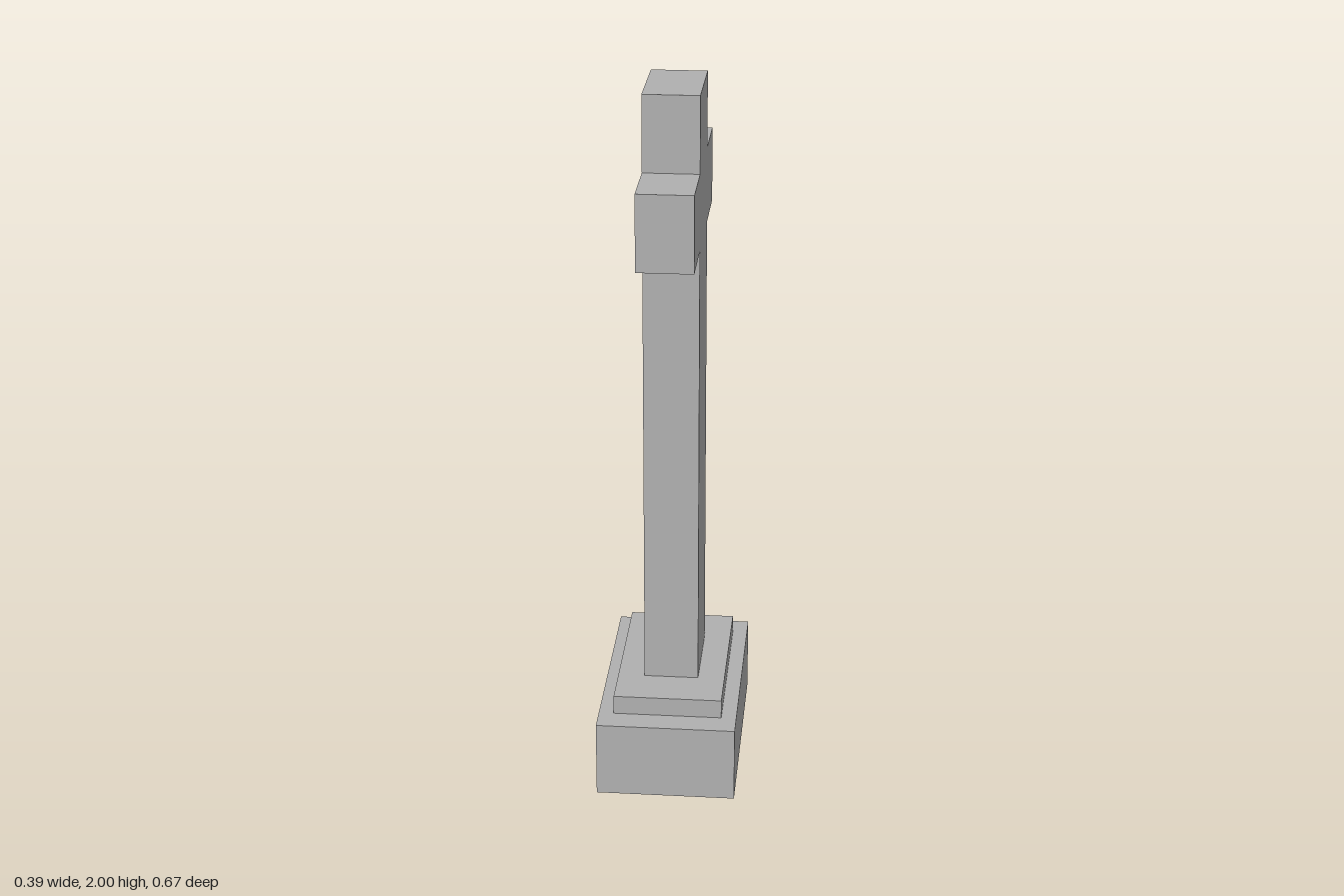
import * as THREE from 'three';

export function createModel() {
  const model = new THREE.Group();
  model.name = 'stoneCross';
  const stone = new THREE.MeshStandardMaterial({ color: 0xb0b0b0 });
  stone.name = 'grey stone';

  const add = (name, geometry) => {
    const mesh = new THREE.Mesh(geometry, stone);
    mesh.name = name;
    model.add(mesh);
  };
  const block = (name, width, depth, bottom, top) =>
    add(name, new THREE.BoxGeometry(width, top - bottom, depth).translate(0, (bottom + top) / 2, 0));

  // Stepped pedestal
  block('plinth', 0.394, 0.666, 0, 0.22);
  block('step', 0.308, 0.52, 0.22, 0.275);

  // Shaft and arms in one outline: shape x becomes -z, with the arms along z
  const half = 0.131, armFront = -0.32, armBack = 0.328;
  const foot = 0.275, armBottom = 1.573, armTop = 1.787, top = 2;
  const outline = new THREE.Shape([
    [-half, foot], [half, foot], [half, armBottom], [armBack, armBottom],
    [armBack, armTop], [half, armTop], [half, top], [-half, top],
    [-half, armTop], [armFront, armTop], [armFront, armBottom], [-half, armBottom],
  ].map(([x, y]) => new THREE.Vector2(x, y)));
  const thickness = 0.155;
  const cross = new THREE.ExtrudeGeometry(outline, { depth: thickness, bevelEnabled: false });
  cross.translate(0, 0, -thickness / 2).rotateY(Math.PI / 2);
  add('cross', cross);

  return model;
}
